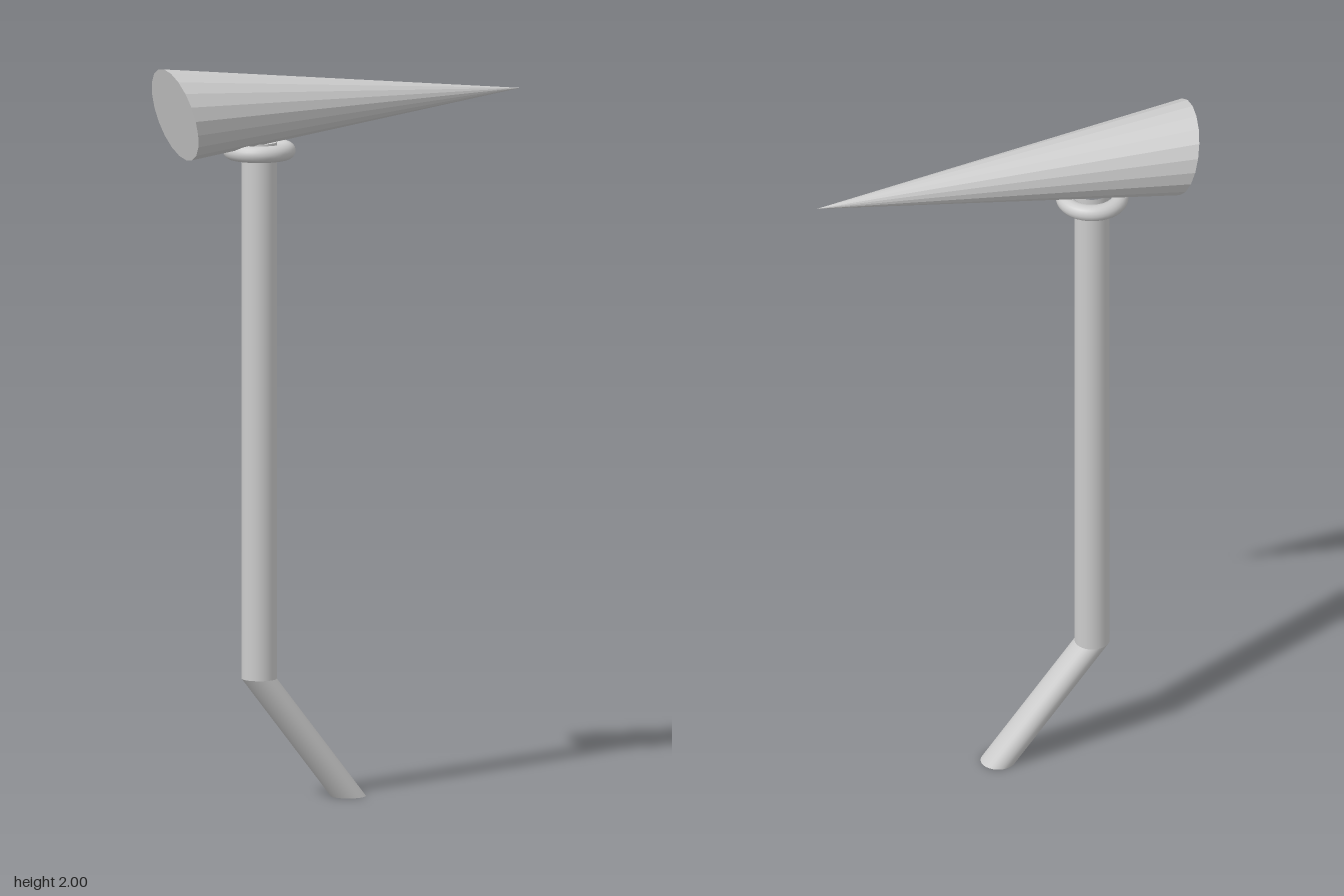
import * as THREE from 'three';

const smooth = new THREE.MeshStandardMaterial({ color: 0xcccccc });
const faceted = new THREE.MeshStandardMaterial({ color: 0xcccccc, flatShading: true });

// Skews a unit-height geometry so its axis runs from one point to another;
// the cross-section is spanned by the vectors u and w.
function skew(geometry, from, to, u, w) {
  const axis = to.clone().sub(from);
  const centre = from.clone().add(to).multiplyScalar(0.5);
  return geometry.applyMatrix4(new THREE.Matrix4().makeBasis(u, axis, w).setPosition(centre));
}

export function createModel() {
  const model = new THREE.Group();
  const add = (name, geometry, material) => {
    const mesh = new THREE.Mesh(geometry, material);
    mesh.name = name;
    model.add(mesh);
    return mesh;
  };
  const v = (x, y, z = 0) => new THREE.Vector3(x, y, z);
  const poleX = -0.245, poleR = 0.047, bendY = 0.335;

  // Upright pole and slanted foot, both with level cross-sections
  const tube = (from, to, open) => skew(
    new THREE.CylinderGeometry(1, 1, 1, 32, 1, open), from, to, v(poleR, 0), v(0, 0, poleR));
  add('pole', tube(v(poleX, bendY), v(poleX, 1.785), true), smooth);
  add('foot', tube(v(0.017, 0), v(poleX, bendY), false), smooth);

  // Collar ring below the head
  const collar = add('collar', new THREE.TorusGeometry(0.075, 0.0225, 16, 40), smooth);
  collar.rotation.x = Math.PI / 2;
  collar.position.set(poleX, 1.762, 0);

  // Pointed head: skewed cone with a tilted flat base
  add('head', skew(new THREE.ConeGeometry(1, 1, 20),
    v(-0.4925, 1.875), v(0.523, 1.877), v(0.0325, -0.125), v(0, 0, 0.13)), faceted);

  return model;
}
